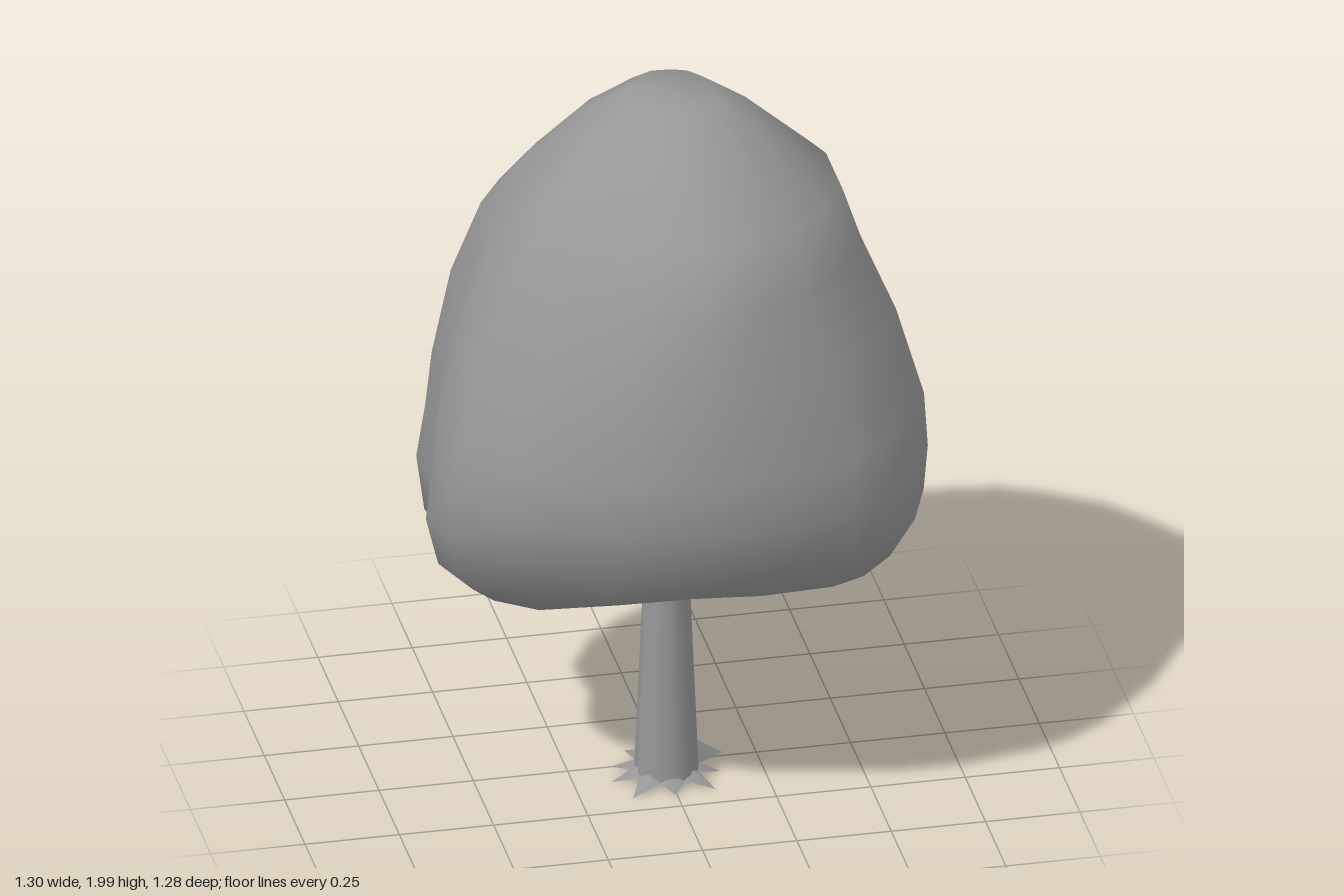
import * as THREE from 'three';

const material = () => new THREE.MeshStandardMaterial({ color: 0x979797, side: THREE.DoubleSide });

function indexed(points, faces) {
  const g = new THREE.BufferGeometry();
  g.setAttribute('position', new THREE.Float32BufferAttribute(points, 3));
  g.setIndex(faces);
  g.computeVertexNormals();
  return g;
}

// Plan outline of the crown, going round from +x by way of -z
const outline = [
  [.63, -.07], [.6, -.19], [.53, -.33], [.37, -.53], [.29, -.57], [.12, -.62], [-.13, -.64], [-.25, -.55],
  [-.48, -.39], [-.58, -.25], [-.59, -.08], [-.65, .12], [-.63, .27], [-.52, .45], [-.23, .6],
  [0, .64], [.2, .63], [.39, .57], [.48, .51], [.58, .4], [.65, .24],
];

// Crown rings from top to bottom: y, xMin, xMax, zMin, zMax,
// share of the underside's sag, pinch of the upper corners, skew between the two diagonals
const rings = [
  [1.985, -.1, .14, -.11, .13, 0, 0, 0],
  [1.92, -.23, .25, -.2, .26, 0, .08, 0],
  [1.75, -.4, .45, -.38, .47, 0, .16, 0],
  [1.6, -.49, .5, -.53, .55, 0, .14, 0],
  [1.4, -.575, .58, -.58, .605, 0, .08, 0],
  [1.15, -.625, .645, -.64, .645, 0, .02, 0],
  [1.0, -.64, .645, -.62, .645, 0, 0, .02],
  [.87, -.655, .63, -.59, .6, .1, 0, .05],
  [.77, -.62, .55, -.54, .53, .5, 0, .09],
  [.73, -.52, .46, -.46, .43, 1, 0, .1],
  [.75, -.28, .25, -.23, .25, 1, 0, 0],
];

// The underside hangs lowest at the back of the -x side and a little on the +x side
function sag(x, z) {
  if (x > 0) return -.1 * x;
  return Math.min(0, Math.max(-.13, .48 * x) + .15 * Math.max(0, z));
}

// How far a corner of the upper crown is flattened; the back -x corner stays full
function cornerPinch(u, v) {
  if (u > 0) return .5;
  return v > 0 ? 1 : 0;
}

function crownGeometry() {
  const n = outline.length, points = [], faces = [];
  for (const [y, x0, x1, z0, z1, droop, pinch, skew] of rings) {
    for (const [u, v] of outline) {
      const sine = 2 * u * v / (u * u + v * v), corner = sine * Math.abs(sine);
      const s = 1 + skew * corner - pinch * cornerPinch(u, v) * Math.abs(corner);
      const x = (x0 + x1) / 2 + s * u / .65 * (x1 - x0) / 2;
      const z = (z0 + z1) / 2 + s * v / .64 * (z1 - z0) / 2;
      points.push(x, y + droop * sag(x, z), z);
    }
  }
  const top = rings.length * n, bottom = top + 1, last = (rings.length - 1) * n;
  points.push(-.02, 2, 0, 0, .77, .02);
  for (let j = 0; j < n; j++) {
    const k = (j + 1) % n;
    faces.push(top, j, k, bottom, last + k, last + j);
    for (let i = 0; i < last; i += n) {
      faces.push(i + n + j, i + n + k, i + k, i + n + j, i + k, i + j);
    }
  }
  return indexed(points, faces);
}

// Root spikes: direction in degrees from +x towards +z, reach, height where it leaves the trunk
const roots = [
  [-28, .19, .1], [5, .14, .05], [45, .15, .05], [90, .12, .05], [135, .16, .05],
  [175, .15, .05], [208, .15, .05], [242, .17, .06], [288, .18, .14],
];

function rootGeometry([degrees, reach, height]) {
  const a = degrees * Math.PI / 180, at = (r, t, y) => [Math.cos(t) * r, y, Math.sin(t) * r];
  const points = [
    ...at(.075, a, height), ...at(.085, a + .38, .03),
    ...at(reach, a, .013), ...at(.085, a - .38, .03),
  ];
  return indexed(points, [0, 1, 2, 0, 2, 3]);
}

export function createModel() {
  const tree = new THREE.Group();
  tree.name = 'tree';

  const crown = new THREE.Mesh(crownGeometry(), material());
  crown.name = 'crown';
  tree.add(crown);

  // Tapered trunk, standing slightly forward under the crown
  const base = new THREE.Group();
  base.name = 'trunkAndRoots';
  base.position.set(-.003, 0, .07);
  const trunk = new THREE.Mesh(new THREE.CylinderGeometry(.052, .084, .76, 10, 1, true), material());
  trunk.name = 'trunk';
  trunk.position.y = .41;
  base.add(trunk);

  for (const spec of roots) {
    const root = new THREE.Mesh(rootGeometry(spec), material());
    root.name = 'root';
    base.add(root);
  }
  tree.add(base);
  return tree;
}
